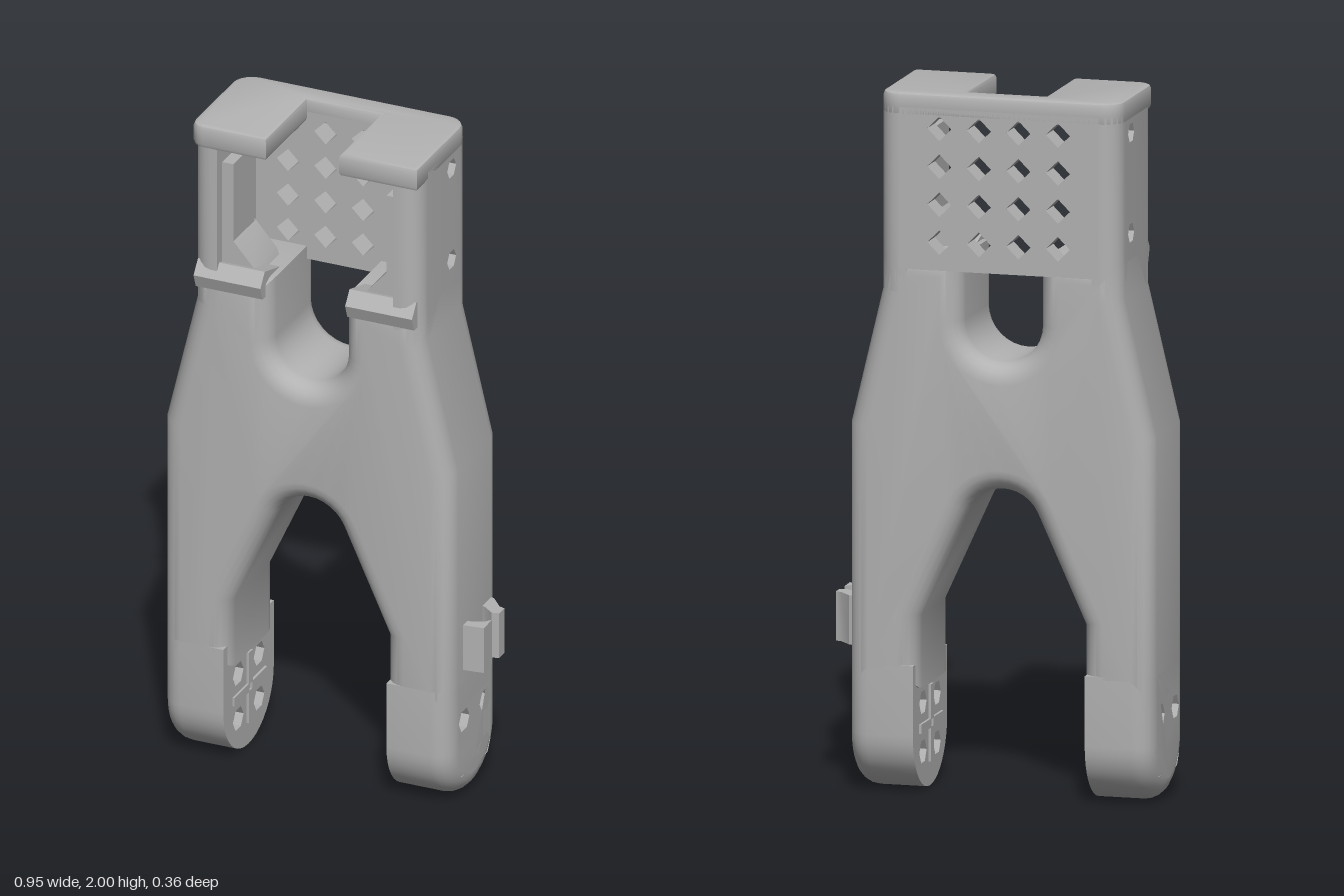
import * as THREE from 'three';
import { toCreasedNormals } from 'three/addons/utils/BufferGeometryUtils.js';

const B = 0.06;                 // edge rounding
const BACK = -0.175, FRONT = 0.165;
const v2 = (x, y) => new THREE.Vector2(x, y);

function arc(cx, cy, r, from, to, n) {
  return Array.from({ length: n + 1 }, (_, i) => {
    const a = THREE.MathUtils.degToRad(from + (to - from) * i / n);
    return v2(cx + r * Math.cos(a), cy + r * Math.sin(a));
  });
}

// Solid running along x. contour(inset) gives points (-z, y); levels are [x, inset] pairs; holes go right through.
function solidX(contour, levels, holes = []) {
  const out = [];
  const put = (p, w) => out.push(w, p.y, -p.x);
  const strip = (a, za, b, zb) => a.forEach((p, i) => {
    const j = (i + 1) % a.length;
    put(p, za); put(a[j], za); put(b[j], zb);
    put(p, za); put(b[j], zb); put(b[i], zb);
  });
  const loops = levels.map(([, inset]) => {
    const c = contour(inset);
    return THREE.ShapeUtils.isClockWise(c) ? c.reverse() : c;
  });
  for (let i = 1; i < levels.length; i++) strip(loops[i - 1], levels[i - 1][0], loops[i], levels[i][0]);
  const last = levels.length - 1;
  for (const h of holes) strip(h, levels[0][0], h, levels[last][0]);
  for (const k of [0, last]) {
    const all = [...loops[k], ...holes.flat()];
    for (const [a, b, c] of THREE.ShapeUtils.triangulateShape(loops[k], holes)) {
      for (const i of k ? [a, b, c] : [a, c, b]) put(all[i], levels[k][0]);
    }
  }
  const g = new THREE.BufferGeometry();
  g.setAttribute('position', new THREE.Float32BufferAttribute(out, 3));
  return toCreasedNormals(g, 0.6);
}

// Levels for a slab whose outer face is rounded; side is -1 or 1.
function roundedLevels(side, outer, inner) {
  const l = [];
  for (let k = 0; k <= 5; k++) {
    const t = k / 5 * Math.PI / 2;
    l.push([side * (outer - B * (1 - Math.cos(t - Math.PI / 2 + Math.PI / 2))), B * (1 - Math.sin(t))]);
  }
  l.push([side * inner, 0]);
  return side < 0 ? l : l.reverse();
}

// Extrusion along z from z0 to z1, rounded by bevel
function solidZ(shape, z0, z1, bevel = 0, segments = 5) {
  const g = new THREE.ExtrudeGeometry(shape, {
    depth: z1 - z0 - 2 * bevel, bevelEnabled: bevel > 0, bevelThickness: bevel,
    bevelSize: bevel, bevelOffset: -bevel, bevelSegments: segments,
  });
  g.translate(0, 0, z0 + bevel);
  return toCreasedNormals(g, 0.6);
}

export function createModel() {
  const grey = new THREE.MeshStandardMaterial({ color: 0xb2b2b2 });
  grey.name = 'grey plastic';
  const model = new THREE.Group();
  model.name = 'forkBracket';
  const fork = new THREE.Group();
  fork.name = 'fork';
  fork.position.x = -0.033;
  model.add(fork);
  const add = (name, geometry, parent = fork) => {
    const m = new THREE.Mesh(geometry, grey);
    m.name = name;
    parent.add(m);
    return m;
  };

  // Forked body with the arch below and the U slot above
  const outline = [
    v2(0.24, 0.3), v2(0.443, 0.3), v2(0.443, 1.05), v2(0.35, 1.44), v2(0.35, 1.54), v2(0.114, 1.54),
    ...arc(0, 1.355, 0.114, 0, -180, 16),
    v2(-0.114, 1.54), v2(-0.35, 1.54), v2(-0.35, 1.44), v2(-0.443, 1.05), v2(-0.443, 0.3), v2(-0.24, 0.3), v2(-0.24, 0.51),
    ...arc(0, 0.77, 0.11, 155, 25, 12),
    v2(0.24, 0.51),
  ];
  add('body', solidZ(new THREE.Shape(outline), BACK, FRONT, B));

  // Back plate pierced by a grid of diamonds
  const plate = new THREE.Shape([v2(-0.29, 1.5), v2(0.29, 1.5), v2(0.29, 1.96), v2(-0.29, 1.96)]);
  for (let i = 0; i < 4; i++) for (let j = 0; j < 4; j++) {
    plate.holes.push(new THREE.Path(arc(-0.172 + i * 0.115, 1.58 + j * 0.108, 0.035, 0, -270, 3)));
  }
  add('backPlate', solidZ(plate, BACK, -0.1));

  // Top plate with its open slot
  const top = new THREE.Shape([
    v2(0.35, -0.177), ...arc(0.29, 0.115, 0.06, 0, 90, 6), ...arc(-0.29, 0.115, 0.06, 90, 180, 6),
    ...arc(-0.31, -0.137, 0.04, 180, 270, 4),
    v2(-0.114, -0.177), v2(-0.114, 0.1), v2(0.11, 0.1), v2(0.11, -0.177),
  ]);
  const topGeometry = solidZ(top, 1.93, 2, 0.012, 2);
  topGeometry.rotateX(-Math.PI / 2);
  add('topPlate', topGeometry);

  const legContour = inset => [
    v2(0.175 - inset, 0.37), v2(-0.165 + inset, 0.37), ...arc(0.005, 0.17, 0.17 - inset, 180, 360, 20),
  ];
  const wallContour = inset => [
    v2(0.175 - inset, 1.42), v2(0.175 - inset, 1.96), v2(-FRONT + inset, 1.96), v2(-FRONT + inset, 1.42),
  ];
  const hole = (z, y, r) => arc(-z, y, r, 0, -300, 5);

  for (const s of [-1, 1]) {
    const side = s < 0 ? 'right' : 'left';

    // Round leg end with four bolt holes
    const bolts = [[0.065, 0.25], [-0.075, 0.25], [0.065, 0.11], [-0.075, 0.11]].map(([z, y]) => hole(z, y, 0.036));
    add(side + 'LegEnd', solidX(legContour, roundedLevels(s, 0.443, 0.25), bolts));

    // Raised blades on the inner face of the leg end
    for (let k = 0; k < 4; k++) {
      const blade = add(side + 'LegBlade', new THREE.BoxGeometry(0.012, 0.1, 0.026));
      const a = k * Math.PI / 2;
      blade.rotation.x = a;
      blade.position.set(s * 0.249, 0.18 + 0.06 * Math.cos(a), -0.005 + 0.06 * Math.sin(a));
    }

    // Side wall of the upper housing, its inner pad and floor wedge
    add(side + 'Wall', solidX(wallContour, roundedLevels(s, 0.35, 0.27), [hole(-0.055, 1.9, 0.03), hole(-0.055, 1.615, 0.03)]));
    const pad = add(side + 'Pad', new THREE.BoxGeometry(0.04, 0.25, 0.14));
    pad.position.set(s * 0.255, 1.75, 0.06);
    const wedge = [v2(s * 0.28, 1.5), v2(s * 0.15, 1.5), v2(s * 0.17, 1.56), v2(s * 0.24, 1.64), v2(s * 0.28, 1.64)];
    add(side + 'FloorWedge', solidZ(new THREE.Shape(wedge), -0.02, 0.13));

    // Front lip along the housing floor
    const lip = () => [v2(0.02, 1.52), v2(-0.1, 1.49), v2(-0.165, 1.49), v2(-0.18, 1.53), v2(-0.15, 1.57)];
    const ends = [s * 0.13, s * 0.335].sort((a, b) => a - b);
    add(side + 'FrontLip', solidX(lip, ends.map(x => [x, 0])));
  }

  // Pair of cable hooks on the outer side of the left leg
  const hooks = [
    [v2(0.4, 0.12), v2(0.42, 0.115), v2(0.455, 0.075), v2(0.472, 0.07), v2(0.472, 0.035), v2(0.45, 0.03), v2(0.42, 0.055), v2(0.4, 0.06)],
    [v2(0.4, -0.075), v2(0.472, -0.067), v2(0.47, -0.01), v2(0.455, -0.03), v2(0.4, -0.05)],
  ];
  for (const points of hooks) {
    const g = solidZ(new THREE.Shape(points), 0.41, 0.55);
    g.rotateX(-Math.PI / 2);
    add('cableHook', g, model);
  }
  return model;
}
